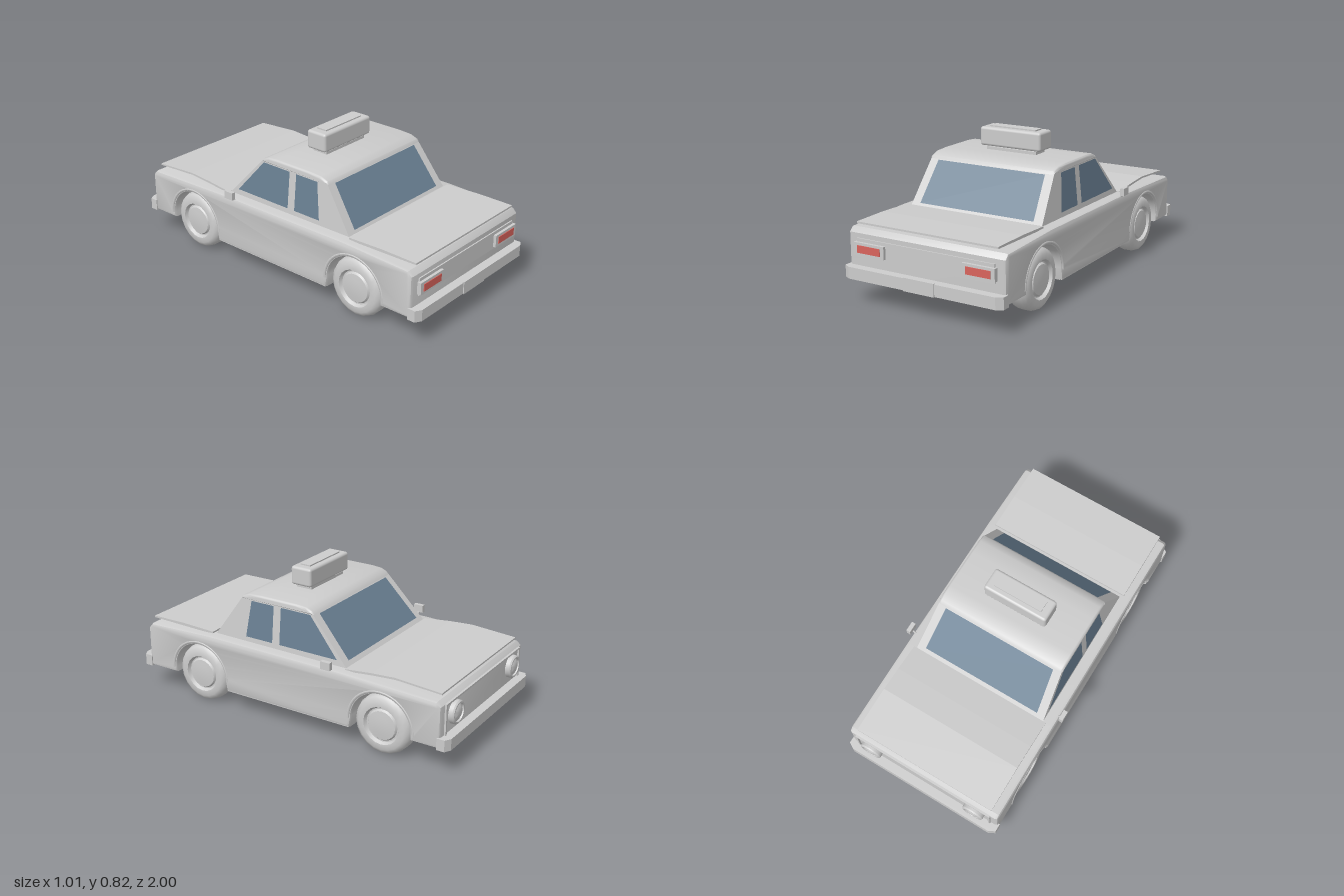
import * as THREE from 'three';
import { toCreasedNormals } from 'three/addons/utils/BufferGeometryUtils.js';
import { RoundedBoxGeometry } from 'three/addons/geometries/RoundedBoxGeometry.js';

const mat = (name, color, side = THREE.FrontSide) => {
  const m = new THREE.MeshStandardMaterial({ color, side });
  m.name = name;
  return m;
};

export function createModel() {
  const paint = mat('grey paint', 0xcccccc);
  const glass = mat('blue grey glass', 0x6a8093, THREE.DoubleSide);
  const red = mat('tail light red', 0xd9635c);
  const car = new THREE.Group();
  car.name = 'taxi';

  const add = (name, geometry, material = paint, parent = car) => {
    const mesh = new THREE.Mesh(geometry, material);
    mesh.name = name;
    parent.add(mesh);
    return mesh;
  };
  // Box given by its limits, optionally rounded
  const box = (name, x0, x1, y0, y1, z0, z1, r = 0, material = paint) => {
    const s = [x1 - x0, y1 - y0, z1 - z0];
    const g = r ? new RoundedBoxGeometry(...s, 2, r) : new THREE.BoxGeometry(...s);
    g.translate((x0 + x1) / 2, (y0 + y1) / 2, (z0 + z1) / 2);
    return add(name, g, material);
  };
  // Side profile in (z, y), swept across the car to half width w
  const sweep = (shape, w, bevel = 0, segments = 2) => {
    const g = new THREE.ExtrudeGeometry(shape, {
      depth: 2 * (w - bevel), curveSegments: 20, bevelEnabled: bevel > 0,
      bevelSize: bevel, bevelThickness: bevel, bevelOffset: -bevel, bevelSegments: segments,
    });
    g.translate(0, 0, bevel - w);
    g.rotateY(-Math.PI / 2);
    return g;
  };
  const outline = (pts) => new THREE.Shape(pts.map((p) => new THREE.Vector2(...p)));
  const panel = (name, corners) => {
    const g = new THREE.BufferGeometry();
    g.setAttribute('position', new THREE.Float32BufferAttribute(corners.flat(), 3));
    g.setIndex([0, 1, 2, 0, 2, 3]);
    g.computeVertexNormals();
    return add(name, g, glass);
  };

  // Lower body with wheel arches
  const wheelZ = [0.575, -0.6];
  const archR = 0.175;
  const side = new THREE.Shape();
  side.moveTo(0.945, 0.14);
  side.lineTo(0.945, 0.375);
  side.lineTo(0.92, 0.402);
  side.lineTo(0.5, 0.418);
  side.lineTo(-0.36, 0.412);
  side.lineTo(-0.92, 0.393);
  side.lineTo(-0.945, 0.37);
  side.lineTo(-0.945, 0.14);
  side.lineTo(wheelZ[1] - archR, 0.14);
  side.absarc(wheelZ[1], 0.17, archR, Math.PI, 0, true);
  side.lineTo(wheelZ[1] + archR + 0.01, 0.112);
  side.lineTo(wheelZ[0] - archR - 0.01, 0.112);
  side.absarc(wheelZ[0], 0.17, archR, Math.PI, 0, true);
  side.lineTo(wheelZ[0] + archR, 0.14);
  add('body', toCreasedNormals(sweep(side, 0.475, 0.018), 0.6));
  box('underbody', -0.31, 0.31, 0.135, 0.38, -0.93, 0.93);
  box('sill', -0.468, 0.468, 0.112, 0.14, -0.41, 0.385);

  // Hood and trunk lid, thin sheets standing slightly proud
  add('hood', sweep(outline([[-0.36, 0.404], [-0.36, 0.415], [-0.52, 0.432], [-0.66, 0.441],
    [-0.925, 0.424], [-0.925, 0.415], [-0.66, 0.43], [-0.52, 0.42]]), 0.427));
  add('trunkLid', sweep(outline([[0.51, 0.414], [0.935, 0.422], [0.935, 0.432],
    [0.72, 0.434], [0.51, 0.427]]), 0.427));

  // Cabin, narrowing towards the roof
  const wide = (y) => 0.41 - 0.1 * (y - 0.41);
  const cabin = sweep(outline([[0.5, 0.405], [0.5, 0.41], [0.325, 0.66], [-0.13, 0.66],
    [-0.36, 0.41], [-0.36, 0.405]]), 1);
  const p = cabin.attributes.position;
  for (let i = 0; i < p.count; i++) p.setX(i, p.getX(i) * wide(p.getY(i)));
  cabin.computeVertexNormals();
  add('cabin', cabin);
  add('roof', toCreasedNormals(sweep(outline([[0.335, 0.652], [0.325, 0.668], [0.28, 0.684],
    [0.2, 0.689], [-0.03, 0.689], [-0.09, 0.684], [-0.125, 0.67], [-0.14, 0.652]]), 0.39, 0.013, 3), 0.7));

  // Windows
  const backZ = (y) => 0.5 - 0.7 * (y - 0.41) + 0.004;
  const frontZ = (y) => -0.36 + 0.92 * (y - 0.41) - 0.004;
  const lo = 0.435, hi = 0.648;
  panel('rearWindow', [[-0.355, lo, backZ(lo)], [0.355, lo, backZ(lo)],
    [0.335, hi, backZ(hi)], [-0.335, hi, backZ(hi)]]);
  panel('windshield', [[0.36, lo, frontZ(lo)], [-0.36, lo, frontZ(lo)],
    [-0.338, hi, frontZ(hi)], [0.338, hi, frontZ(hi)]]);
  for (const s of [1, -1]) {
    const at = (z, y) => [s * (wide(y) + 0.003), y, z];
    const pane = (name, pts) => panel(name, (s > 0 ? pts : pts.reverse()).map((q) => at(...q)));
    pane('rearSideWindow', [[0.29, 0.444], [0.115, 0.444], [0.115, 0.65], [0.262, 0.65]]);
    pane('frontSideWindow', [[0.068, 0.444], [-0.3, 0.444], [-0.12, 0.65], [0.068, 0.65]]);
  }

  // Bumpers with chamfered corners, wrapping round the ends
  for (const e of [1, -1]) {
    const s = outline([[-0.48, 0.93], [-0.48, 0.975], [-0.445, 0.995], [0.445, 0.995],
      [0.48, 0.975], [0.48, 0.93]].map(([x, z]) => [x, -z * e]));
    const g = new THREE.ExtrudeGeometry(s, { depth: 0.064, bevelEnabled: false });
    g.rotateX(-Math.PI / 2);
    g.translate(0, 0.138, 0);
    add(e > 0 ? 'rearBumper' : 'frontBumper', g);
  }
  box('numberPlate', -0.094, 0.092, 0.136, 0.207, 0.99, 1);

  // Tail panel and lights
  box('tailPanel', -0.416, 0.416, 0.25, 0.35, 0.94, 0.952);
  for (const s of [1, -1]) {
    const x = s * 0.331;
    box('tailLightFrame', x - 0.095, x + 0.095, 0.263, 0.332, 0.94, 0.968);
    box('tailLight', x - 0.072, x + 0.072, 0.278, 0.318, 0.966, 0.972, 0, red);
  }

  // Grille frame and round headlights
  box('grilleTop', -0.43, 0.43, 0.362, 0.372, -0.955, -0.94);
  for (const s of [1, -1]) {
    box('grilleEnd', s * 0.425 - 0.006, s * 0.425 + 0.006, 0.2, 0.365, -0.955, -0.94);
    const lamp = new THREE.LatheGeometry([[0.064, 0], [0.064, 0.026], [0.058, 0.034], [0.05, 0.034],
      [0.048, 0.024], [0.03, 0.034], [0, 0.038]].map((q) => new THREE.Vector2(...q)), 20);
    lamp.rotateX(-Math.PI / 2);
    const headlight = add('headlight', toCreasedNormals(lamp, 0.6));
    headlight.position.set(s * 0.33, 0.295, -0.942);
  }

  // Wheels and arch lips
  const tyre = [[0.06, -0.06], [0.14, -0.064], [0.157, -0.05], [0.166, -0.025], [0.166, 0.025],
    [0.157, 0.048], [0.135, 0.063], [0.105, 0.063], [0.095, 0.045], [0.088, 0.045],
    [0.08, 0.056], [0.045, 0.06], [0, 0.062]].map((q) => new THREE.Vector2(...q));
  for (const s of [1, -1]) for (const z of wheelZ) {
    const g = new THREE.LatheGeometry(tyre, 20);
    g.rotateZ(-s * Math.PI / 2);
    const wheel = add('wheel', toCreasedNormals(g, 0.7));
    wheel.position.set(s * 0.397, 0.168, z);
    const lip = new THREE.TorusGeometry(0.193, 0.009, 6, 20, Math.PI);
    lip.rotateY(Math.PI / 2);
    const arch = add('archLip', lip);
    arch.position.set(s * 0.47, 0.17, z);
  }

  // Wing mirrors on short arms
  for (const s of [1, -1]) {
    box('mirror', s * 0.492 - 0.012, s * 0.492 + 0.012, 0.42, 0.463, -0.315, -0.257);
    const arm = new THREE.TubeGeometry(new THREE.LineCurve3(
      new THREE.Vector3(s * 0.455, 0.4, -0.287), new THREE.Vector3(s * 0.492, 0.425, -0.287)), 1, 0.006, 6);
    add('mirrorArm', arm);
  }

  // Roof sign
  box('signBase', -0.158, 0.156, 0.68, 0.705, 0.03, 0.125);
  box('signStem', -0.13, 0.13, 0.7, 0.715, 0.045, 0.11);
  box('sign', -0.191, 0.191, 0.71, 0.815, 0.012, 0.142, 0.015);
  box('signTop', -0.145, 0.145, 0.812, 0.822, 0.045, 0.11);
  return car;
}
